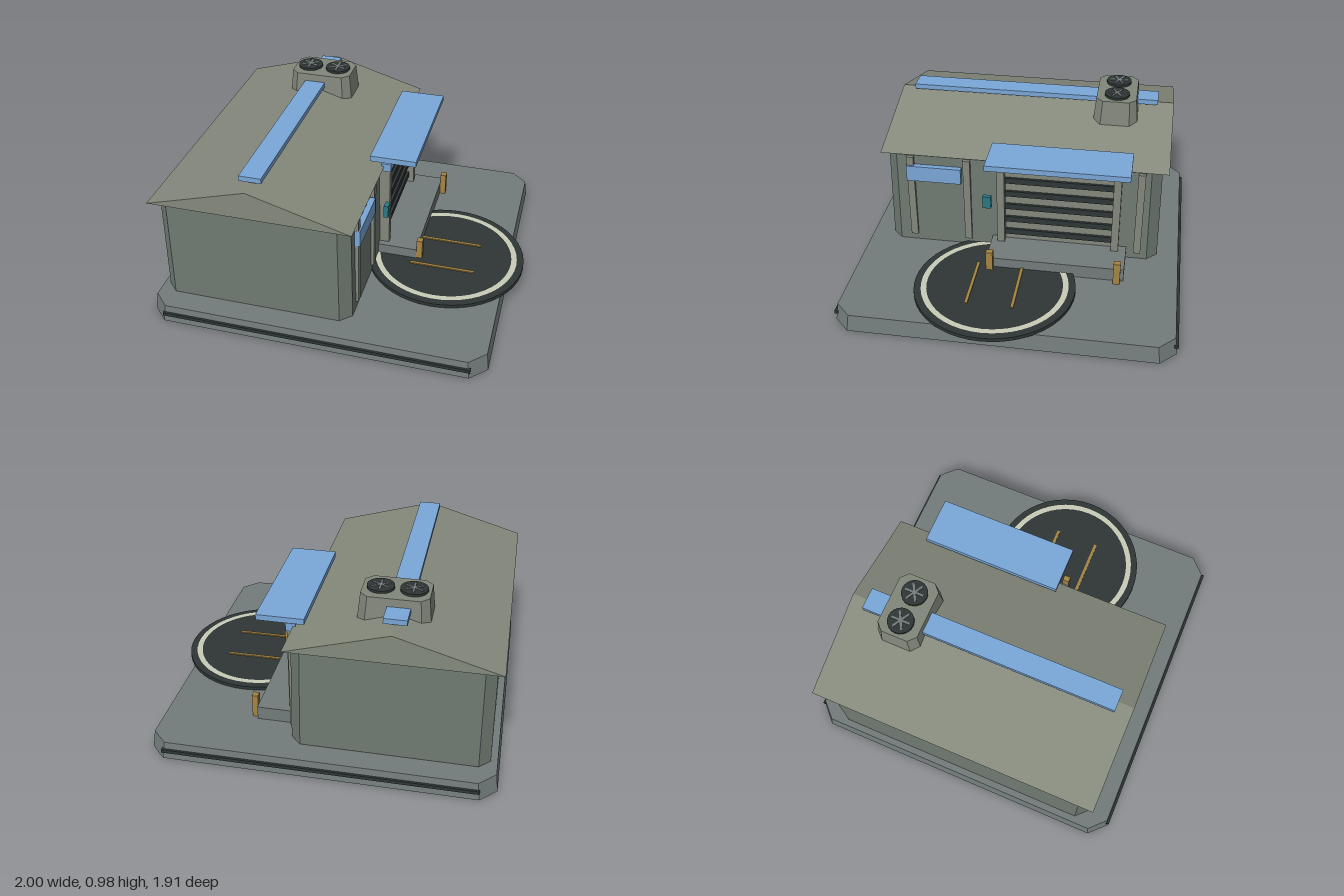
import * as THREE from 'three';

const COLORS = {
  base: 0x737b7b, wall: 0x6f7a72, trim: 0x82877b, roof: 0x858a7c, dark: 0x2e3635,
  blue: 0x7aa7d8, yellow: 0xa58442, teal: 0x2b7884, cream: 0xc8ccb6,
};
const mats = {};
const mat = (c) => (mats[c] ??= new THREE.MeshStandardMaterial({ color: COLORS[c], flatShading: true }));

function add(group, name, geometry, color) {
  const mesh = new THREE.Mesh(geometry, mat(color));
  mesh.name = name;
  group.add(mesh);
  return mesh;
}

// Box given by its extents on each axis
function box(group, name, color, [x0, x1], [y0, y1], [z0, z1]) {
  const mesh = add(group, name, new THREE.BoxGeometry(x1 - x0, y1 - y0, z1 - z0), color);
  mesh.position.set((x0 + x1) / 2, (y0 + y1) / 2, (z0 + z1) / 2);
  return mesh;
}

// Block with cut corners in plan, each side leaning in by `inset` at the top
function cutBlock(group, name, color, [x0, x1], [y0, y1], [z0, z1], cut, inset) {
  const a = (x1 - x0) / 2, b = (z1 - z0) / 2, h = y1 - y0;
  const shape = new THREE.Shape([
    [a - cut, -b], [a, -b + cut], [a, b - cut], [a - cut, b],
    [-a + cut, b], [-a, b - cut], [-a, -b + cut], [-a + cut, -b],
  ].map(([x, y]) => new THREE.Vector2(x, y)));
  const geo = new THREE.ExtrudeGeometry(shape, { depth: h, bevelEnabled: false });
  geo.rotateX(-Math.PI / 2);
  const p = geo.attributes.position;
  for (let i = 0; i < p.count; i++) {
    if (p.getY(i) < h / 2) continue;
    p.setX(i, p.getX(i) * (1 - inset / a));
    p.setZ(i, p.getZ(i) * (1 - inset / b));
  }
  geo.computeVertexNormals();
  const mesh = add(group, name, geo, color);
  mesh.position.set((x0 + x1) / 2, y0, (z0 + z1) / 2);
  return mesh;
}

function disc(group, name, color, r, [y0, y1], x, z, sides) {
  const mesh = add(group, name, new THREE.CylinderGeometry(r, r, y1 - y0, sides), color);
  mesh.position.set(x, (y0 + y1) / 2, z);
  return mesh;
}

export function createModel() {
  const model = new THREE.Group();
  model.name = 'depotBuilding';

  // Foundation slab with dark strips front and back
  cutBlock(model, 'foundation', 'base', [-1, 0.915], [0, 0.1], [-0.95, 0.95], 0.09, 0.013);
  for (const s of [-1, 1])
    box(model, 'foundationStrip', 'dark', [-0.91, 0.83], [0.04, 0.06], s > 0 ? [0.93, 0.955] : [-0.955, -0.93]);

  // Hall and floor markings
  cutBlock(model, 'walls', 'wall', [-0.95, 0.14], [0.105, 0.71], [-0.81, 0.81], 0.06, 0.008);
  for (const x of [-0.87, -0.62])
    box(model, 'floorMarking', 'yellow', [x, x + 0.18], [0.1, 0.106], [0.63, 0.805]);

  // Gable roof
  const gable = new THREE.Shape();
  gable.moveTo(-0.98, 0.71);
  gable.lineTo(0.16, 0.71);
  gable.lineTo(-0.41, 0.875);
  gable.closePath();
  const roof = new THREE.ExtrudeGeometry(gable, { depth: 1.67, bevelEnabled: false });
  roof.translate(0, 0, -0.84);
  add(model, 'roof', roof, 'roof');
  box(model, 'ridgeLight', 'blue', [-0.475, -0.35], [0.884, 0.914], [-0.745, 0.74]);

  // Roof ventilator with two fans
  const vent = new THREE.Group();
  vent.name = 'ventilator';
  model.add(vent);
  cutBlock(vent, 'ventHousing', 'trim', [-0.58, -0.19], [0.81, 0.958], [-0.633, -0.37], 0.045, 0.014);
  for (const x of [-0.475, -0.3]) {
    disc(vent, 'fan', 'dark', 0.074, [0.955, 0.972], x, -0.503, 20);
    for (let i = 0; i < 3; i++) {
      const blade = box(vent, 'fanBlade', 'base', [x - 0.055, x + 0.055], [0.968, 0.976], [-0.509, -0.497]);
      blade.rotation.y = Math.PI / 2 + (i * Math.PI) / 3;
    }
  }

  // Wall ribs, window and control box
  for (const z of [0.66, 0.325, -0.69])
    box(model, 'wallRib', 'trim', [0.12, 0.155], [0.15, 0.69], [z - 0.021, z + 0.021]);
  box(model, 'window', 'blue', [0.13, 0.165], [0.537, 0.635], [0.358, 0.682]);
  box(model, 'controlBox', 'teal', [0.18, 0.207], [0.415, 0.492], [0.173, 0.224]);

  // Slatted loading door with frame, lintel and canopy
  box(model, 'door', 'trim', [0.12, 0.15], [0.12, 0.69], [-0.54, 0.1]);
  for (let i = 0; i < 6; i++) {
    const y = 0.235 + i * 0.0885;
    box(model, 'doorSlat', 'dark', [0.14, 0.165], [y - 0.018, y + 0.018], [-0.535, 0.095]);
  }
  for (const z of [0.118, -0.558])
    box(model, 'doorPost', 'trim', [0.13, 0.195], [0.1, 0.69], [z - 0.022, z + 0.022]);
  box(model, 'lintel', 'blue', [0.145, 0.2], [0.68, 0.728], [-0.587, 0.147]);
  box(model, 'canopy', 'blue', [0.085, 0.35], [0.757, 0.79], [-0.632, 0.18]);

  // Loading dock with bollards
  box(model, 'dock', 'base', [0.13, 0.37], [0.1, 0.18], [-0.627, 0.177]);
  for (const z of [0.152, -0.588])
    box(model, 'bollard', 'yellow', [0.37, 0.405], [0.1, 0.24], [z - 0.02, z + 0.02]);

  // Round landing pad with painted ring and guide lines
  disc(model, 'pad', 'dark', 0.462, [0.098, 0.12], 0.535, 0.095, 48);
  const ring = add(model, 'padRing', new THREE.RingGeometry(0.39, 0.422, 48), 'cream');
  ring.rotation.x = -Math.PI / 2;
  ring.position.set(0.535, 0.123, 0.095);
  for (const z of [-0.035, 0.225])
    box(model, 'guideLine', 'yellow', [0.345, 0.727], [0.118, 0.127], [z - 0.009, z + 0.009]);

  return model;
}
